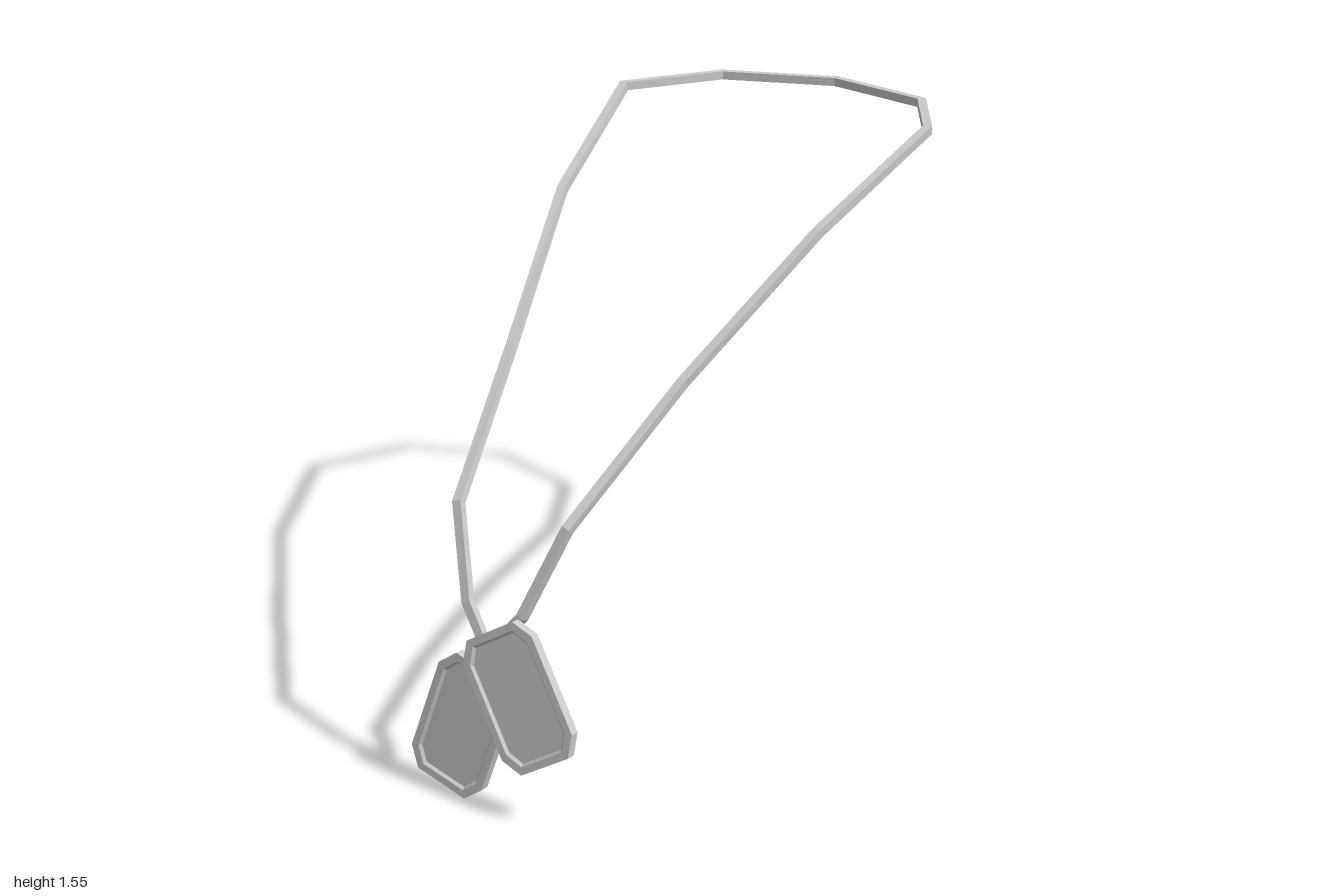
import * as THREE from 'three';

const material = new THREE.MeshStandardMaterial({ color: 0xcccccc, flatShading: true });
const V = (x, y, z) => new THREE.Vector3(x, y, z);

// Flat-shaded skin over equal-sized rings, each counter-clockwise about the travel direction
function skin(rings, closed) {
  const pos = [];
  const tri = (a, b, c) => [a, b, c].forEach((p) => pos.push(p.x, p.y, p.z));
  const n = rings[0].length;
  const last = closed ? rings.length : rings.length - 1;
  for (let i = 0; i < last; i++) {
    const a = rings[i], b = rings[(i + 1) % rings.length];
    for (let j = 0; j < n; j++) {
      const k = (j + 1) % n;
      tri(a[j], a[k], b[k]);
      tri(a[j], b[k], b[j]);
    }
  }
  if (!closed) {
    const a = rings[0], b = rings[last];
    for (let j = 1; j < n - 1; j++) {
      tri(a[0], a[j + 1], a[j]);
      tri(b[0], b[j], b[j + 1]);
    }
  }
  const g = new THREE.BufferGeometry();
  g.setAttribute('position', new THREE.Float32BufferAttribute(pos, 3));
  g.computeVertexNormals();
  return g;
}

// Closed loop of square-section segments with mitred joints
function chainGeometry(points, half) {
  const n = points.length;
  const rings = points.map((p, i) => {
    const dIn = p.clone().sub(points[(i + n - 1) % n]).normalize();
    const dOut = points[(i + 1) % n].clone().sub(p).normalize();
    const t = dIn.clone().add(dOut).normalize();
    // the upper face looks up at the nape and swings forward down the chest
    const facing = V(0, p.y, Math.max(0, p.z + 0.4));
    const side = facing.cross(t).normalize();
    const up = t.clone().cross(side);
    const bend = dOut.clone().sub(dIn).normalize();
    const stretch = 1 / Math.max(0.6, t.dot(dOut)) - 1;
    return [[1, 1], [-1, 1], [-1, -1], [1, -1]].map(([s, u]) => {
      const off = side.clone().multiplyScalar(s * half).addScaledVector(up, u * half);
      off.addScaledVector(bend, off.dot(bend) * stretch);
      return off.add(p);
    });
  });
  return skin(rings, true);
}

// Clipped rectangle, counter-clockwise seen from +z
function outline(inset, z) {
  const w = 0.119 - inset, h = 0.187 - inset;
  const cx = 0.04 - inset * 0.45, cy = 0.053 - inset * 0.5;
  return [
    [w, -h + cy], [w, h - cy], [w - cx, h], [-w + cx, h],
    [-w, h - cy], [-w, -h + cy], [-w + cx, -h], [w - cx, -h],
  ].map(([x, y]) => V(x, y, z));
}

// Flat back, raised front rim, sloped step down to the panel
function makeTag(name, position, turn, tilt) {
  const rings = [
    outline(0, -0.014), outline(0, 0.014), outline(0.02, 0.014), outline(0.027, 0.007),
  ];
  const tag = new THREE.Mesh(skin(rings, false), material);
  tag.name = name;
  tag.position.set(...position);
  tag.rotation.set(tilt, 0, turn);
  return tag;
}

export function createModel() {
  const group = new THREE.Group();
  group.name = 'tagNecklace';

  // Neck chain: down one side from nape to chest, then back up the other
  const half = [
    [0.338, 1.522, -0.875], [0.5, 1.535, -0.56], [0.408, 1.352, -0.07],
    [0.268, 1.054, 0.41], [0.168, 0.764, 0.8], [0.085, 0.535, 0.89],
  ];
  const lean = (x, y) => x - (y < 0.9 ? 0.013 : 0.002);
  const points = [
    V(0, 1.52, -0.985),
    ...half.map(([x, y, z]) => V(lean(x, y), y, z)),
    V(-0.02, 0.42, 0.915),
    ...half.slice().reverse().map(([x, y, z]) => V(lean(-x, y), y, z)),
  ];
  const chain = new THREE.Mesh(chainGeometry(points, 0.0125), material);
  chain.name = 'chain';
  group.add(chain);

  // Two overlapping pendants
  group.add(makeTag('frontTag', [0.101, 0.339, 0.955], 0.56, -0.18));
  group.add(makeTag('rearTag', [-0.087, 0.202, 0.947], -0.295, -0.12));
  return group;
}
